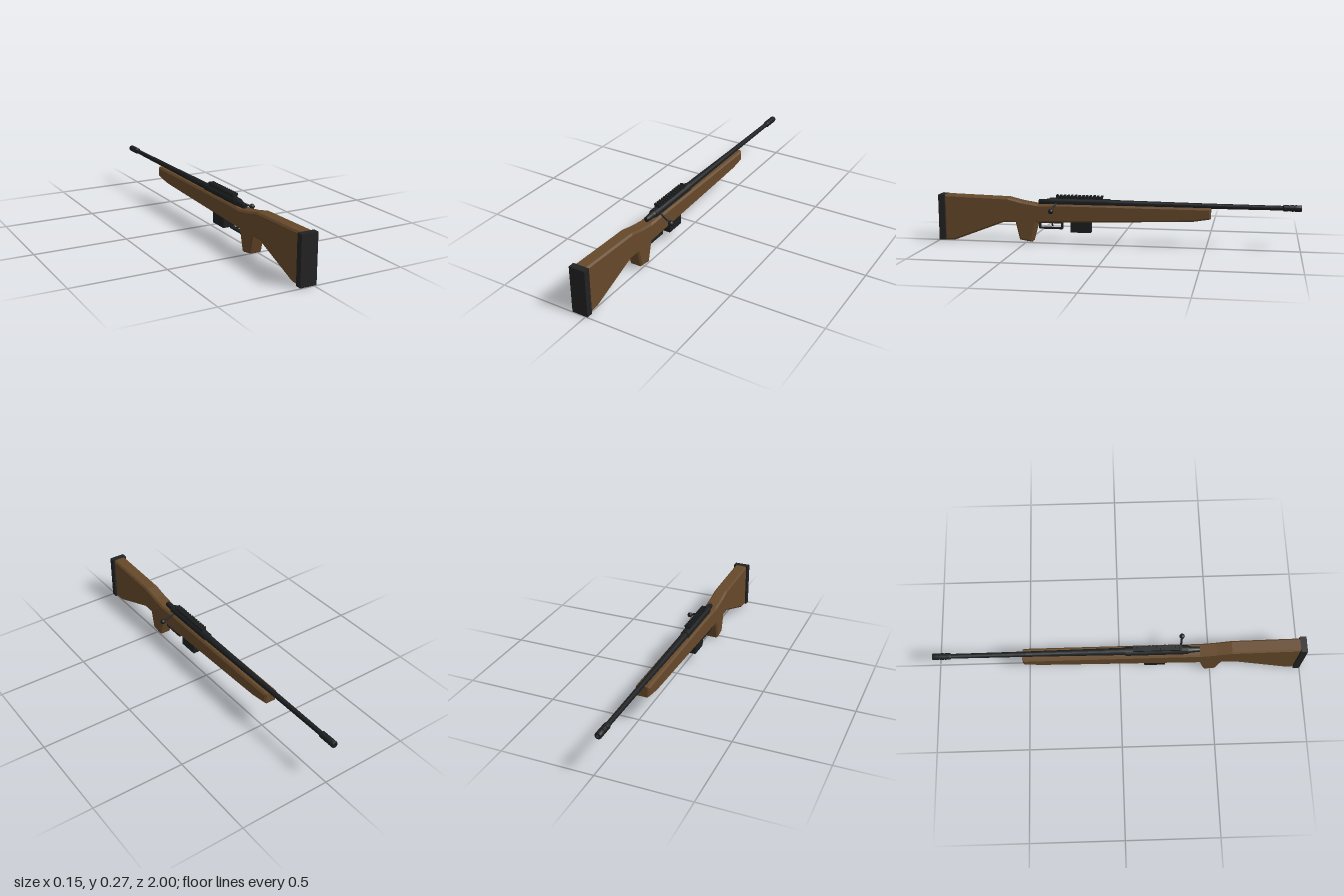
import * as THREE from 'three';
import { toCreasedNormals } from 'three/addons/utils/BufferGeometryUtils.js';

const CX = -0.032; // centre plane of the rifle
const AXIS = 0.231; // height of the bore

export function createModel() {
  const group = new THREE.Group();
  const wood = new THREE.MeshStandardMaterial({ color: 0x65482a });
  const metal = new THREE.MeshStandardMaterial({ color: 0x1c1e1f });
  const rubber = new THREE.MeshStandardMaterial({ color: 0x222222 });
  wood.name = 'walnut wood';
  metal.name = 'blued metal';
  rubber.name = 'dark rubber';

  const add = (name, geometry, material) => {
    const mesh = new THREE.Mesh(geometry, material);
    mesh.name = name;
    group.add(mesh);
    return mesh;
  };

  // Side profile of [z, y] points, extruded across x with a chamfer
  const slab = (name, points, width, bevel, material) => {
    const shape = new THREE.Shape(points.map(([z, y]) => new THREE.Vector2(z, y)));
    const geo = new THREE.ExtrudeGeometry(shape, {
      depth: width - 2 * bevel, bevelEnabled: bevel > 0, bevelSegments: 1,
      bevelSize: bevel, bevelThickness: bevel, bevelOffset: -bevel,
    });
    geo.rotateY(-Math.PI / 2);
    geo.translate(CX + width / 2 - bevel, 0, 0);
    return add(name, geo, material);
  };

  // Turned part along z, from [z, radius] points with rising z
  const turned = (name, points, segments = 20) => {
    const profile = points.map(([z, r]) => new THREE.Vector2(r, z));
    const geo = new THREE.LatheGeometry(profile, segments).rotateX(Math.PI / 2);
    const mesh = add(name, toCreasedNormals(geo, 0.6), metal);
    mesh.position.set(CX, AXIS, 0);
    return mesh;
  };

  const box = (name, w, z0, z1, y0, y1, material = metal) => {
    const mesh = add(name, new THREE.BoxGeometry(w, y1 - y0, z1 - z0), material);
    mesh.position.set(CX, (y0 + y1) / 2, (z0 + z1) / 2);
    return mesh;
  };

  // Stock with pistol grip
  slab('stock', [
    [0.968, 0.262], [0.6, 0.252], [0.52, 0.233], [0.43, 0.219], [0.34, 0.222],
    [-0.522, 0.222], [-0.522, 0.163], [-0.425, 0.147], [-0.3, 0.142], [0.435, 0.117],
    [0.465, 0.007], [0.535, 0.018], [0.558, 0.115], [0.625, 0.115],
    [0.91, 0.006], [0.968, 0.003],
  ], 0.074, 0.009, wood);
  box('buttPad', 0.089, 0.965, 1, 0.005, 0.262, rubber);

  // Barrel, receiver and bolt
  turned('barrel', [
    [-0.95, 0], [-0.95, 0.0125], [-0.5, 0.0145], [-0.1, 0.0185], [0.05, 0.02], [0.05, 0],
  ]);
  turned('muzzleBrake', [
    [-0.985, 0], [-0.985, 0.009], [-1, 0.009], [-1, 0.016], [-0.995, 0.0178],
    [-0.966, 0.0178], [-0.966, 0.0155], [-0.958, 0.0155], [-0.958, 0.0178],
    [-0.94, 0.0178], [-0.94, 0.0155], [-0.932, 0.0155], [-0.932, 0.0178],
    [-0.907, 0.0178], [-0.9, 0.0125], [-0.9, 0],
  ]);
  turned('receiver', [[0.03, 0], [0.03, 0.0245], [0.365, 0.0245], [0.365, 0]]);
  turned('boltShroud', [
    [0.36, 0], [0.36, 0.022], [0.385, 0.0165], [0.425, 0.0145], [0.43, 0.012], [0.43, 0],
  ]);

  // Slanted bolt handle with a ball knob
  const root = new THREE.Vector3(CX + 0.015, 0.228, 0.328);
  const tip = new THREE.Vector3(0.06, 0.193, 0.342);
  add('boltHandle', new THREE.TubeGeometry(new THREE.LineCurve3(root, tip), 1, 0.0055, 10), metal);
  add('boltKnob', new THREE.SphereGeometry(0.0145, 18, 12), metal).position.copy(tip);

  // Scope rail with cross teeth
  box('railBase', 0.026, 0.07, 0.33, 0.249, 0.264);
  const teeth = 13;
  for (let i = 0; i < teeth; i++) {
    const z = 0.07 + (i * (0.26 - 0.011)) / (teeth - 1);
    box('railTooth', 0.032, z, z + 0.011, 0.262, 0.272);
  }

  // Magazine
  box('magazine', 0.048, 0.135, 0.248, 0.066, 0.14);

  // Trigger guard and trigger
  box('guardBottom', 0.024, 0.296, 0.428, 0.08, 0.088);
  box('guardFront', 0.024, 0.296, 0.304, 0.08, 0.128);
  box('guardRear', 0.024, 0.42, 0.428, 0.08, 0.125);
  box('guardPlate', 0.024, 0.296, 0.428, 0.113, 0.122);
  slab('trigger', [
    [0.35, 0.125], [0.36, 0.125], [0.359, 0.105], [0.355, 0.094], [0.35, 0.094], [0.352, 0.105],
  ], 0.01, 0, metal);

  return group;
}
